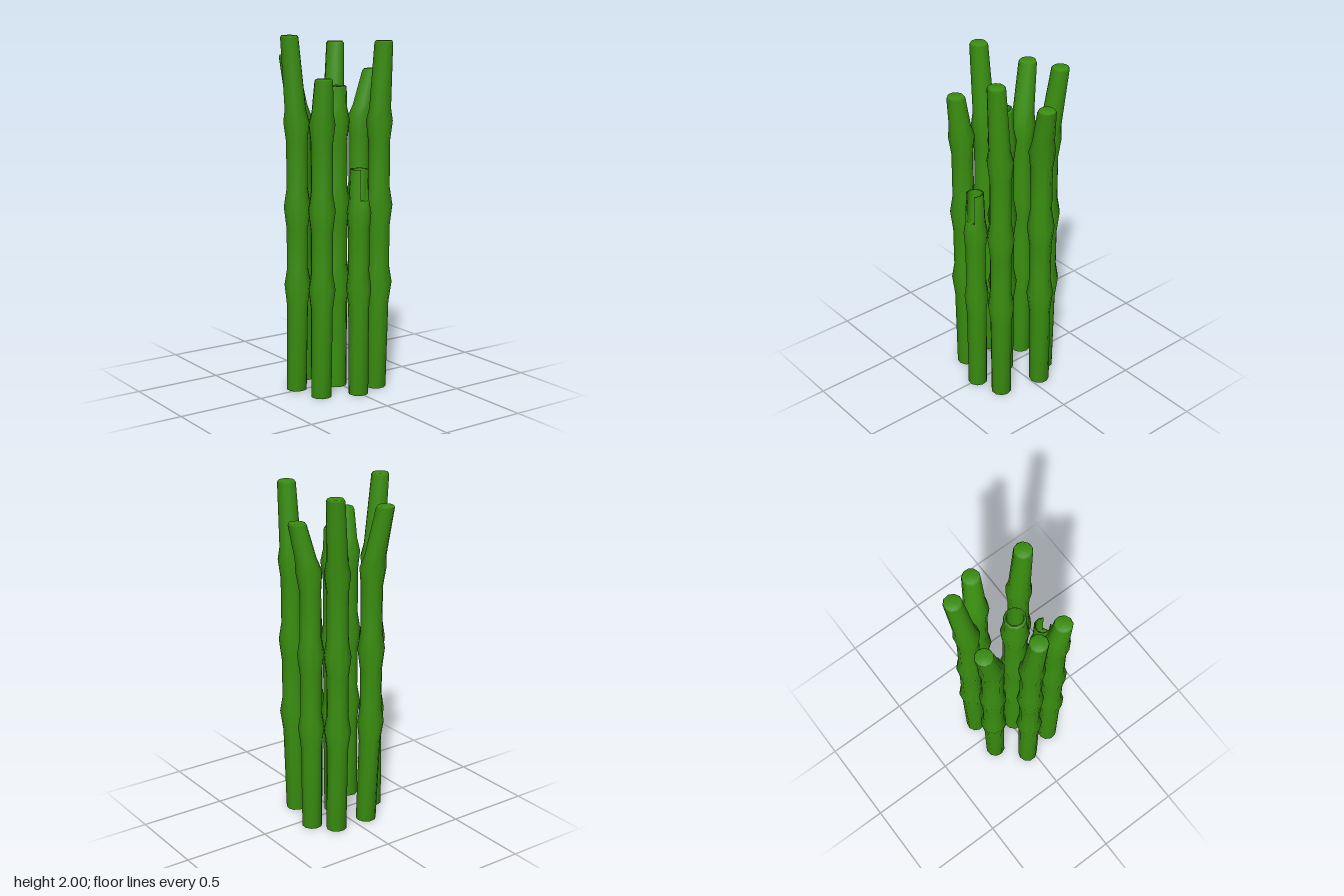
import * as THREE from 'three';

const SIDES = 10;

// Skin through rings [x, y, z, r]; a ring of radius 0 closes an end.
// notch = first ring index of three bands left open on the two +x sides.
function skin(rings, phase = 0, notch = -1) {
  const pos = [], idx = [];
  for (const [x, y, z, r] of rings) {
    for (let j = 0; j < SIDES; j++) {
      const a = phase + (j / SIDES) * Math.PI * 2;
      pos.push(x + r * Math.cos(a), y, z + r * Math.sin(a));
    }
  }
  const id = (i, j) => i * SIDES + (j % SIDES);
  for (let i = 0; i < rings.length - 1; i++) {
    for (let j = 0; j < SIDES; j++) {
      const open = notch >= 0 && i >= notch && i < notch + 3 && (j === 0 || j === SIDES - 1);
      if (open) continue;
      const a = id(i, j), b = id(i + 1, j), c = id(i + 1, j + 1), d = id(i, j + 1);
      if (rings[i][3] > 0) idx.push(a, b, d);
      if (rings[i + 1][3] > 0) idx.push(b, c, d);
      else if (rings[i][3] === 0) idx.push(b, c, d);
    }
  }
  if (notch >= 0) {
    // cut faces of the notch: ledge and the two wall ends
    for (const j of [SIDES - 1, 0]) {
      const a = id(notch, j), b = id(notch + 3, j), c = id(notch + 3, j + 1), d = id(notch, j + 1);
      idx.push(a, b, d, b, c, d);
    }
    for (const j of [1, SIDES - 1]) {
      const [a, b, c, d] = [0, 1, 2, 3].map(k => id(notch + k, j));
      if (j === 1) idx.push(a, c, b, a, d, c);
      else idx.push(a, b, c, a, c, d);
    }
  }
  const g = new THREE.BufferGeometry();
  g.setAttribute('position', new THREE.Float32BufferAttribute(pos, 3));
  g.setIndex(idx);
  g.computeVertexNormals();
  return g;
}

// Stalk outline as [height, radius], with a swelling at each joint
const PROFILE = [
  [0.005, 0.058], [0.5, 0.061], [0.62, 0.076], [0.71, 0.061], [0.94, 0.062],
  [1.06, 0.077], [1.16, 0.061], [1.42, 0.061], [1.53, 0.074], [1.6, 0.06],
];
const BEND = 1.5;

// Centre line: nearly upright to the last joint, then leaning to the tip
function centre(y, base, mid, tip, height) {
  const low = Math.min(y / 0.62, 1);
  const high = Math.max(0, (y - BEND) / (height - BEND));
  return [0, 1].map(k => base[k] + (mid[k] - base[k]) * low + (tip[k] - mid[k]) * high);
}

export function createModel() {
  const group = new THREE.Group();
  group.name = 'stalkBundle';
  const green = new THREE.MeshStandardMaterial({ color: 0x3a8f10, side: THREE.DoubleSide });
  green.name = 'stalkGreen';
  const add = (name, geometry) => {
    const mesh = new THREE.Mesh(geometry, green);
    mesh.name = name;
    group.add(mesh);
  };

  // Closed outer stalks: [name, height, base xz, joint xz, tip xz]
  const stalks = [
    ['frontStalk', 2.0, [-0.03, 0.24], [-0.025, 0.234], [-0.026, 0.28]],
    ['frontRightStalk', 1.88, [-0.172, 0.09], [-0.188, 0.105], [-0.257, 0.14]],
    ['backRightStalk', 1.95, [-0.17, -0.12], [-0.18, -0.12], [-0.223, -0.163]],
    ['backStalk', 1.8, [-0.06, -0.213], [-0.056, -0.212], [-0.03, -0.278]],
    ['backLeftStalk', 1.97, [0.185, -0.157], [0.193, -0.166], [0.223, -0.172]],
    ['frontLeftStalk', 1.775, [0.157, 0.2], [0.163, 0.198], [0.195, 0.206]],
  ];
  stalks.forEach(([name, height, base, mid, tip], n) => {
    const ring = (y, r) => {
      const [x, z] = centre(y, base, mid, tip, height);
      return [x, y, z, r];
    };
    const rings = [ring(0.005, 0), ...PROFILE.map(([y, r]) => ring(y, r)),
      ring(height - 0.012, 0.051), ring(height, 0.044), ring(height, 0)];
    add(name, skin(rings, n * 0.23));
  });

  // Hollow middle stalk, open at both ends
  const outer = [...PROFILE, [1.71, 0.057], [1.72, 0.054]];
  const pipe = ([y, r]) => [0.032, y, 0.014, r * 1.08];
  add('hollowMiddleStalk', skin([
    ...outer.map(pipe), pipe([1.72, 0.042]), pipe([0.005, 0.042]), pipe(outer[0]),
  ], 0.15));

  // Short left stalk with a broken, cupped top
  const short = [
    [0.005, 0], [0.005, 0.056], [0.5, 0.058], [0.62, 0.07], [0.71, 0.058], [0.94, 0.06],
    [1.04, 0.068], [1.11, 0.056], [1.28, 0.05], [1.28, 0.04], [1.11, 0.04], [1.11, 0],
  ];
  add('brokenShortStalk', skin(short.map(([y, r]) => [0.235, y, 0.001, r]), -0.2, 7));

  return group;
}
